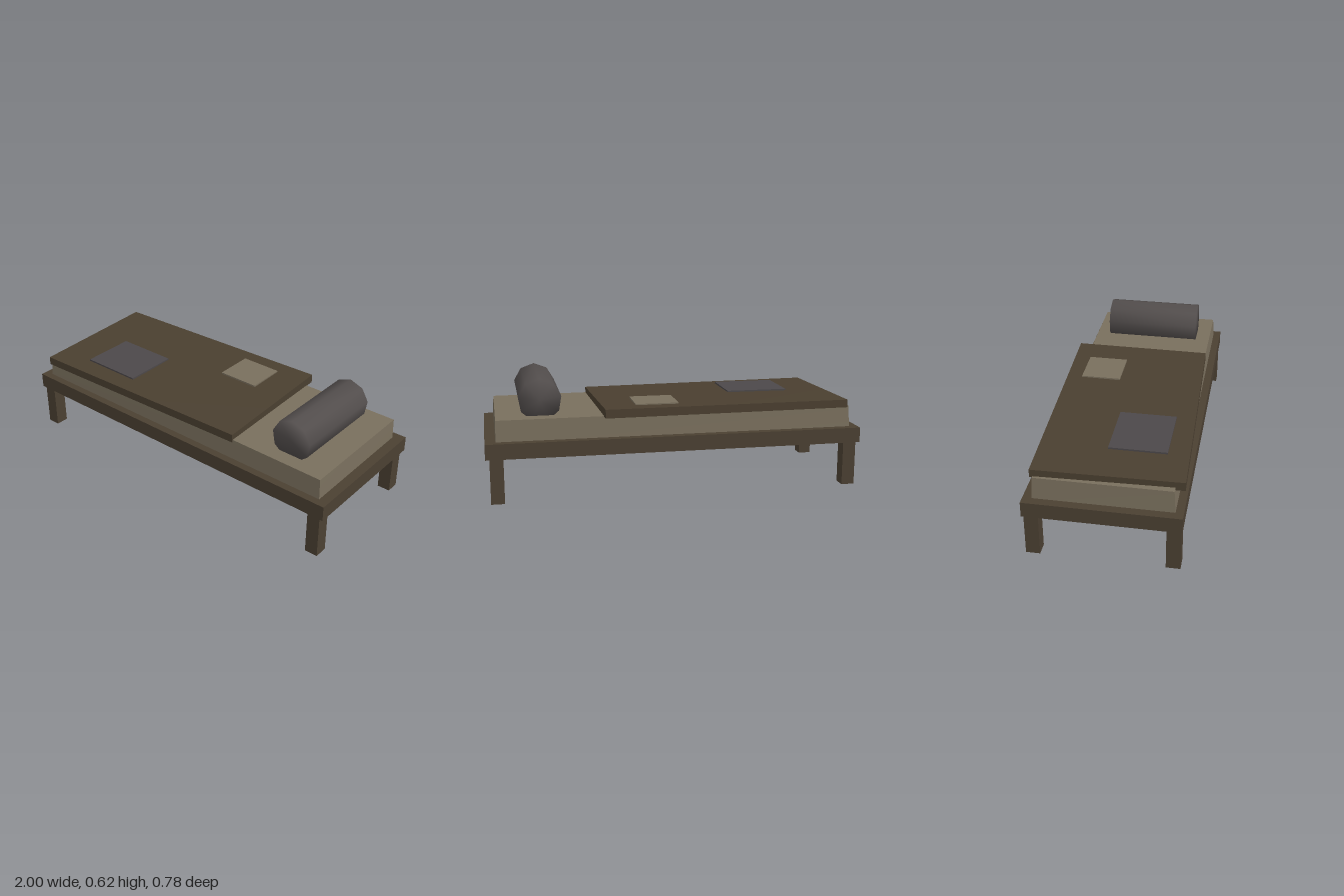
import * as THREE from 'three';
import { mergeVertices } from 'three/addons/utils/BufferGeometryUtils.js';

const mat = (name, color) => new THREE.MeshStandardMaterial({ name, color });

export function createModel() {
  const model = new THREE.Group();
  model.name = 'bed';
  const wood = mat('dark wood', 0x4b4032);
  const linen = mat('beige linen', 0x796f5d);
  const blanketCloth = mat('brown blanket', 0x4a3f30);
  const greyCloth = mat('grey cloth', 0x4c484a);
  const pillowCloth = mat('pillow cloth', 0x524d4c);
  const board = mat('base board', 0x6b6259);

  const add = (name, geometry, material) => {
    const mesh = new THREE.Mesh(geometry, material);
    mesh.name = name;
    model.add(mesh);
    return mesh;
  };
  // Box given by its limits on each axis
  const box = (name, material, x0, x1, y0, y1, z0, z1) => {
    const g = new THREE.BoxGeometry(x1 - x0, y1 - y0, z1 - z0);
    g.translate((x0 + x1) / 2, (y0 + y1) / 2, (z0 + z1) / 2);
    return add(name, g, material);
  };
  // Uneven box: four corners [x, z, bottom, top, inset], back left, back right, front right, front left
  const unevenBox = (name, material, corners) => {
    const g = new THREE.BoxGeometry(2, 2, 2);
    const p = g.attributes.position;
    for (let i = 0; i < p.count; i++) {
      const right = p.getX(i) > 0, up = p.getY(i) > 0, front = p.getZ(i) > 0;
      const [x, z, bottom, top, inset] = corners[front ? (right ? 2 : 3) : (right ? 1 : 0)];
      const shift = up ? inset : 0;
      p.setXYZ(i, x - Math.sign(x) * shift, up ? top : bottom, z - Math.sign(z) * shift);
    }
    g.computeVertexNormals();
    return add(name, g, material);
  };

  // Frame
  for (const s of [-1, 1]) {
    const side = s > 0 ? 'front' : 'back';
    box(side + 'Rail', wood, -1, 1, 0.235, 0.316, Math.min(s * 0.345, s * 0.39), Math.max(s * 0.345, s * 0.39));
    box(s > 0 ? 'headRail' : 'footRail', wood, Math.min(s * 0.945, s), Math.max(s * 0.945, s), 0.235, 0.316, -0.345, 0.345);
    // Legs
    for (const t of [-1, 1]) {
      const leg = box(side + 'Leg', wood, -0.035, 0.035, 0, 0.275, -0.036, 0.036);
      leg.position.set(t * 0.944, 0, s * 0.348);
    }
  }
  box('baseBoard', board, -0.95, 0.95, 0.275, 0.312, -0.35, 0.35);

  // Mattress
  unevenBox('mattress', linen, [
    [-0.955, -0.345, 0.312, 0.430, 0.007],
    [0.945, -0.345, 0.312, 0.427, 0.003],
    [0.948, 0.350, 0.312, 0.424, 0.006],
    [-0.955, 0.350, 0.312, 0.430, 0.008],
  ]);

  // Crooked blanket
  unevenBox('blanket', blanketCloth, [
    [-0.935, -0.355, 0.424, 0.466, 0],
    [0.387, -0.394, 0.426, 0.472, 0],
    [0.410, 0.348, 0.412, 0.457, 0],
    [-0.912, 0.390, 0.415, 0.460, 0],
  ]);

  // Patches
  box('greyPatch', greyCloth, -0.695, -0.355, 0.464, 0.473, -0.02, 0.275);
  box('beigePatch', linen, -0.013, 0.217, 0.467, 0.476, -0.3, -0.087);

  // Bolster pillow, softly shaded over its ends
  let roll = new THREE.CylinderGeometry(0.113, 0.113, 0.525, 9);
  roll.rotateX(-Math.PI / 2);
  // turn a corner to the top
  const p = roll.attributes.position;
  let peak = 0;
  for (let i = 0; i < p.count; i++) if (p.getY(i) > p.getY(peak)) peak = i;
  roll.rotateZ(Math.PI / 2 - Math.atan2(p.getY(peak), p.getX(peak)));
  roll.deleteAttribute('normal');
  roll.deleteAttribute('uv');
  roll = mergeVertices(roll, 1e-3);
  roll.computeVertexNormals();
  add('pillow', roll, pillowCloth).position.set(0.711, 0.507, 0.001);

  return model;
}
